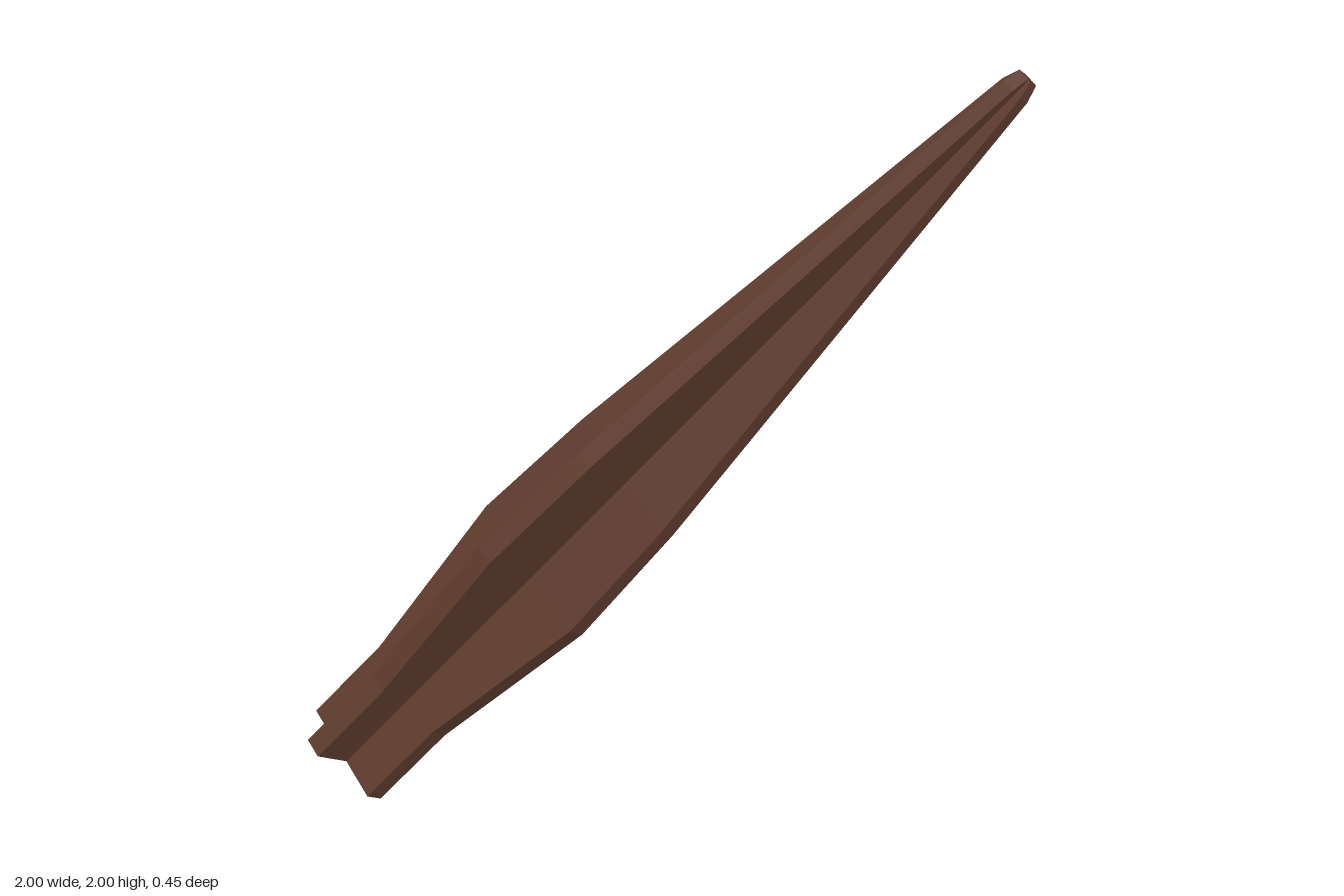
import * as THREE from 'three';

// Stations along the shaft: distance, fin radius, half fin thickness
const STATIONS = [
  [0, 0.158, 0.03],
  [0.27, 0.158, 0.03],
  [0.775, 0.234, 0.03],
  [1.15, 0.212, 0.028],
  [2.6, 0.04, 0.02],
  [2.645, 0.024, 0.018],
];
const TWIST = THREE.MathUtils.degToRad(24);
const BASE = new THREE.Vector3(-0.888, 0.112, 0);
const ALONG = new THREE.Vector3(1, 1, 0).normalize();
const ACROSS = new THREE.Vector3(-1, 1, 0).normalize();

const place = (u, v, z) =>
  BASE.clone().addScaledVector(ALONG, u).addScaledVector(ACROSS, v).add(new THREE.Vector3(0, 0, z));

// Four-finned cross outline, counterclockwise
function crossSection([u, r, h]) {
  const ring = [];
  for (let k = 0; k < 4; k++) {
    const c = Math.cos(TWIST + k * Math.PI / 2), s = Math.sin(TWIST + k * Math.PI / 2);
    for (const [a, b] of [[r, -h], [r, h], [h, h]]) ring.push(place(u, a * c - b * s, a * s + b * c));
  }
  return ring;
}

export function createModel() {
  const group = new THREE.Group();
  group.name = 'finnedSpike';
  const brown = new THREE.MeshStandardMaterial({ color: 0x5e3b2d });
  brown.name = 'dark brown';

  const rings = STATIONS.map(crossSection);
  const pos = [];
  const tri = (...pts) => pts.forEach((p) => pos.push(p.x, p.y, p.z));
  const n = rings[0].length, last = rings.length - 1;
  const bottom = place(0, 0, 0), top = place(STATIONS[last][0], 0, 0);
  for (let i = 0; i < n; i++) {
    const j = (i + 1) % n;
    // Fin sides and rims
    for (let k = 0; k < last; k++) {
      tri(rings[k][i], rings[k][j], rings[k + 1][j]);
      tri(rings[k][i], rings[k + 1][j], rings[k + 1][i]);
    }
    // Base and tip caps
    tri(bottom, rings[0][j], rings[0][i]);
    tri(top, rings[last][i], rings[last][j]);
  }
  const geometry = new THREE.BufferGeometry();
  geometry.setAttribute('position', new THREE.Float32BufferAttribute(pos, 3));
  geometry.computeVertexNormals();

  const spike = new THREE.Mesh(geometry, brown);
  spike.name = 'spike';
  group.add(spike);
  return group;
}
